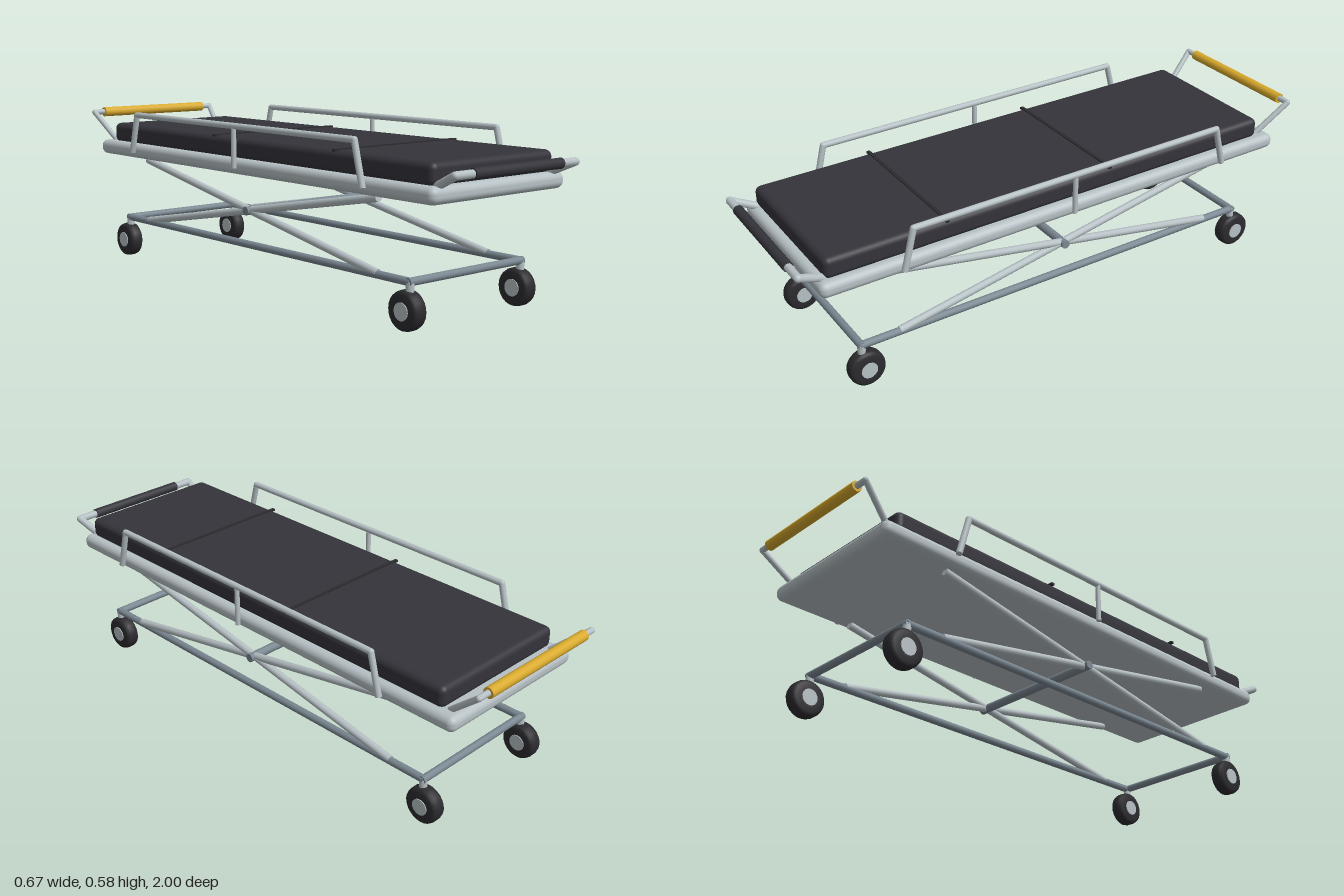
import * as THREE from 'three';
import { RoundedBoxGeometry } from 'three/addons/geometries/RoundedBoxGeometry.js';

const mat = (name, color) => {
  const m = new THREE.MeshStandardMaterial({ color });
  m.name = name;
  return m;
};

export function createModel() {
  const model = new THREE.Group();
  model.name = 'stretcher';
  const steel = mat('light steel', 0xb6c0c4);
  const frame = mat('frame grey', 0x7a8791);
  const vinyl = mat('black vinyl', 0x33333a);
  const rubber = mat('tyre rubber', 0x2b2b2f);
  const yellow = mat('yellow grip', 0xd9aa2c);
  const V = (x, y, z) => new THREE.Vector3(x, y, z);

  function add(parent, name, geometry, material, pos = V(0, 0, 0)) {
    const mesh = new THREE.Mesh(geometry, material);
    mesh.name = name;
    mesh.position.copy(pos);
    parent.add(mesh);
    return mesh;
  }
  // Straight round bar between two points
  function bar(parent, name, a, b, r, material, sides = 12) {
    const dir = b.clone().sub(a);
    const mesh = add(parent, name, new THREE.CylinderGeometry(r, r, dir.length(), sides), material,
      a.clone().add(b).multiplyScalar(0.5));
    mesh.quaternion.setFromUnitVectors(V(0, 1, 0), dir.normalize());
    return mesh;
  }
  // Bent bar: straight runs with round joints at the corners
  function bentBar(parent, name, points, r, material) {
    const g = new THREE.Group();
    g.name = name;
    parent.add(g);
    points.forEach((p, i) => {
      if (i === 0) return;
      bar(g, name + 'Run', points[i - 1], p, r, material);
      if (i < points.length - 1) add(g, name + 'Joint', new THREE.SphereGeometry(r, 12, 8), material, p);
    });
  }

  // Everything but the wheels is centred slightly forward
  const body = new THREE.Group();
  body.name = 'body';
  body.position.z = 0.007;
  model.add(body);

  // Deck, mattress and straps
  add(body, 'deck', new RoundedBoxGeometry(0.605, 0.055, 1.83, 4, 0.024), steel, V(0, 0.4275, 0));
  add(body, 'mattress', new RoundedBoxGeometry(0.55, 0.075, 1.74, 4, 0.022), vinyl, V(0, 0.486, 0.017));
  for (const z of [0.46, -0.178])
    add(body, 'strap', new THREE.BoxGeometry(0.556, 0.008, 0.012), rubber, V(0, 0.523, z));

  // Front and back handles
  bentBar(body, 'frontHandle', [V(-0.253, 0.453, 0.885), V(-0.272, 0.493, 0.972),
    V(0.272, 0.493, 0.972), V(0.253, 0.453, 0.885)], 0.0135, steel);
  bar(body, 'frontGrip', V(-0.2, 0.493, 0.972), V(0.2, 0.493, 0.972), 0.0175, vinyl, 16);
  bentBar(body, 'backHandle', [V(-0.25, 0.445, -0.86), V(-0.283, 0.558, -0.987),
    V(0.283, 0.558, -0.987), V(0.25, 0.445, -0.86)], 0.0105, steel);
  bar(body, 'backGrip', V(-0.24, 0.557, -0.987), V(0.24, 0.557, -0.987), 0.0185, yellow, 16);

  for (const s of [-1, 1]) {
    // Side rail
    const x = s * 0.323;
    bentBar(body, 'sideRail', [V(x, 0.427, 0.643), V(x, 0.571, 0.606),
      V(x, 0.571, -0.606), V(x, 0.427, -0.643)], 0.011, steel);
    bar(body, 'railPost', V(x, 0.427, 0), V(x, 0.571, 0), 0.009, steel);

    // Scissor legs and base side bar
    const lx = s * 0.253;
    for (const d of [-1, 1])
      bar(body, 'scissorLeg', V(lx, 0.157, -d * 0.64), V(lx, 0.392, d * 0.64), 0.0135, steel);
    bar(body, 'baseSideBar', V(lx, 0.153, -0.785), V(lx, 0.153, 0.785), 0.0135, frame);
  }
  bar(body, 'pivotBar', V(-0.276, 0.274, 0), V(0.276, 0.274, 0), 0.0155, frame);
  for (const s of [-1, 1])
    bar(body, 'baseEndBar', V(-0.262, 0.153, s * 0.78), V(0.262, 0.153, s * 0.78), 0.0135, frame);

  // Casters, each trailing a little behind its stem
  for (const sx of [-1, 1]) for (const sz of [-1, 1]) {
    const caster = new THREE.Group();
    caster.name = 'caster';
    caster.position.set(sx * 0.253, 0.064, sz * 0.78 - 0.004);
    model.add(caster);
    bar(caster, 'stem', V(0, 0.045, 0.011), V(0, 0.09, 0.011), 0.0135, steel);
    const tyre = add(caster, 'tyre', new THREE.LatheGeometry([[0.028, -0.026], [0.052, -0.026],
      [0.061, -0.02], [0.064, -0.01], [0.064, 0.01], [0.061, 0.02], [0.052, 0.026], [0.028, 0.026]]
      .map(([r, y]) => new THREE.Vector2(r, y)), 24), rubber);
    tyre.rotation.z = Math.PI / 2;
    bar(caster, 'hub', V(-0.029, 0, 0), V(0.029, 0, 0), 0.029, steel, 16);
  }
  return model;
}
